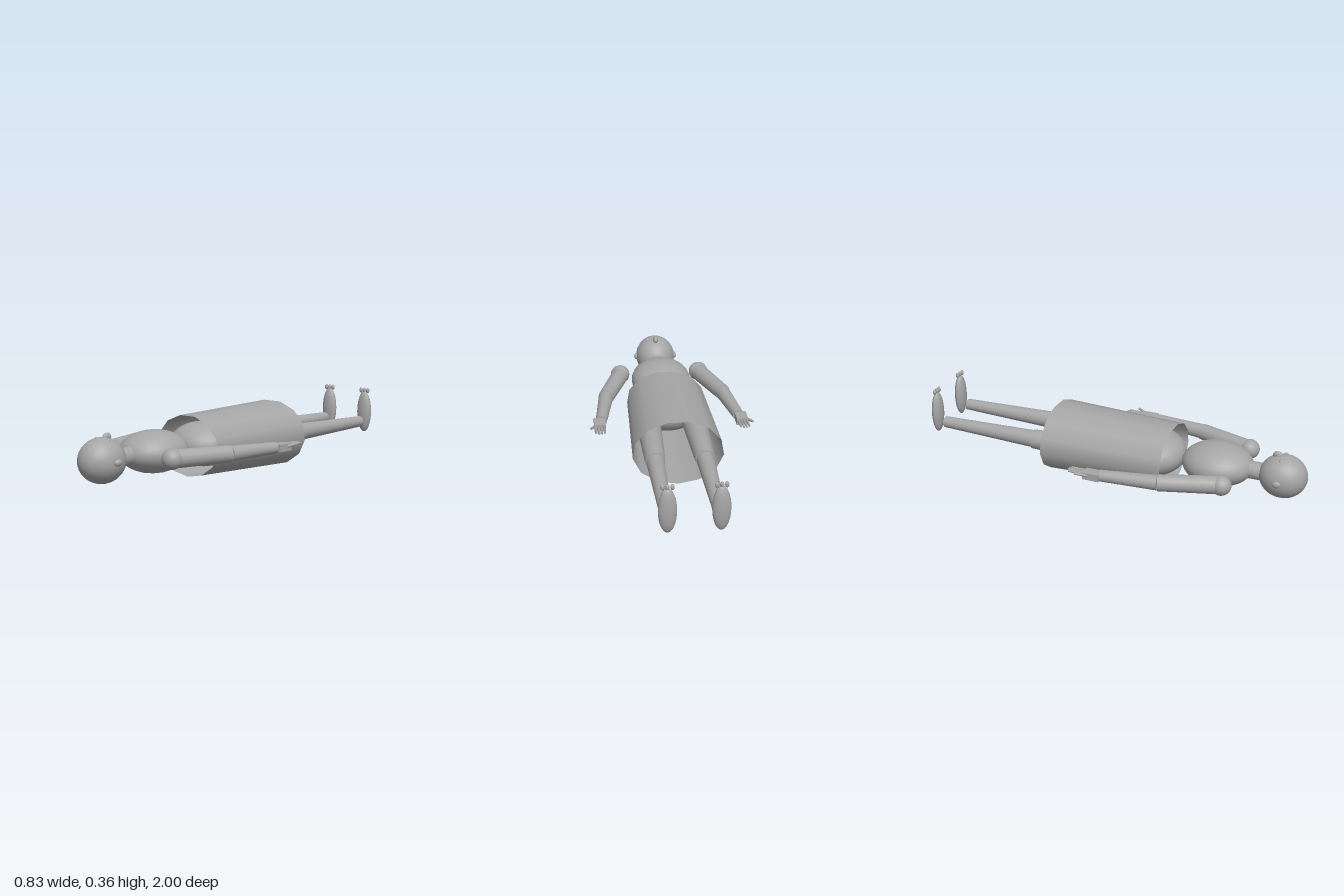
import * as THREE from 'three';

const grey = new THREE.MeshStandardMaterial({ color: 0xa6a6a6 });
grey.name = 'grey';
const greyCloth = new THREE.MeshStandardMaterial({ color: 0xa6a6a6, side: THREE.DoubleSide });
greyCloth.name = 'grey cloth';

const AXIS_Y = 0.17; // height of the body's long axis

function add(parent, name, geometry, position, material = grey) {
  const mesh = new THREE.Mesh(geometry, material);
  mesh.name = name;
  mesh.position.set(...position);
  parent.add(mesh);
  return mesh;
}

// Ellipsoid with its poles along z
function ellipsoid(parent, name, position, radii, segments = 32) {
  const geometry = new THREE.SphereGeometry(1, segments, segments / 2);
  geometry.rotateX(Math.PI / 2).scale(...radii);
  return add(parent, name, geometry, position);
}

// Tapered cylinder from point a to point b
function limb(parent, name, a, b, ra, rb, sides = 24) {
  const start = new THREE.Vector3(...a);
  const end = new THREE.Vector3(...b);
  const dir = end.clone().sub(start);
  const middle = start.clone().add(end).multiplyScalar(0.5);
  const mesh = add(parent, name, new THREE.CylinderGeometry(rb, ra, dir.length(), sides), middle.toArray());
  mesh.quaternion.setFromUnitVectors(new THREE.Vector3(0, 1, 0), dir.normalize());
  return mesh;
}

function buildHead() {
  const head = new THREE.Group();
  head.name = 'head';
  ellipsoid(head, 'skull', [0, AXIS_Y, 0.88], [0.106, 0.109, 0.12]);
  ellipsoid(head, 'nose', [0, 0.277, 0.847], [0.014, 0.019, 0.025], 16);
  for (const s of [-1, 1]) {
    ellipsoid(head, 'eye', [s * 0.04, 0.263, 0.877], [0.012, 0.012, 0.012], 16);
    ellipsoid(head, 'ear', [s * 0.106, AXIS_Y, 0.876], [0.012, 0.017, 0.022], 16);
  }
  return head;
}

function buildArm(s) {
  const arm = new THREE.Group();
  arm.name = s > 0 ? 'leftArm' : 'rightArm';
  ellipsoid(arm, 'shoulder', [s * 0.215, AXIS_Y, 0.637], [0.051, 0.05, 0.05], 24);
  limb(arm, 'upperArm', [s * 0.218, AXIS_Y, 0.617], [s * 0.311, AXIS_Y, 0.347], 0.045, 0.041);
  limb(arm, 'forearm', [s * 0.311, AXIS_Y, 0.347], [s * 0.353, AXIS_Y, 0.063], 0.038, 0.029);

  // Hand: palm, four fingers, and a thumb pointing outwards
  add(arm, 'palm', new THREE.BoxGeometry(0.058, 0.036, 0.085), [s * 0.362, 0.17, 0.027]);
  for (let i = 0; i < 4; i++) {
    const x = s * (0.341 + i * 0.0145);
    const tip = i === 0 || i === 3 ? -0.09 : -0.099;
    limb(arm, 'finger', [x, 0.177, 0], [x + s * 0.002, 0.18, tip], 0.007, 0.005, 8);
  }
  limb(arm, 'thumb', [s * 0.386, 0.174, 0.01], [s * 0.411, 0.186, -0.05], 0.008, 0.006, 8);
  return arm;
}

function buildLeg(s) {
  const leg = new THREE.Group();
  leg.name = s > 0 ? 'leftLeg' : 'rightLeg';
  const x = s * 0.121;
  limb(leg, 'thigh', [s * 0.115, 0.173, 0.12], [x, 0.173, -0.41], 0.066, 0.049);
  limb(leg, 'shin', [x, 0.173, -0.41], [x, 0.173, -0.927], 0.044, 0.029);
  ellipsoid(leg, 'foot', [x, 0.225, -0.97], [0.043, 0.112, 0.027]);
  for (const i of [-1, 0, 1]) {
    ellipsoid(leg, 'toe', [x + i * 0.0225, 0.342, -0.97], [0.0095, 0.015, 0.0095], 16);
  }
  return leg;
}

export function createModel() {
  const model = new THREE.Group();
  model.name = 'lyingFigure';
  model.add(buildHead());

  // Trunk
  limb(model, 'neck', [0, AXIS_Y, 0.79], [0, AXIS_Y, 0.68], 0.044, 0.044);
  ellipsoid(model, 'chest', [0, 0.173, 0.544], [0.158, 0.104, 0.18]);
  ellipsoid(model, 'hips', [0, AXIS_Y, 0.2], [0.172, 0.112, 0.168]);

  // Open, slightly flared skirt with an oval section
  const skirt = new THREE.CylinderGeometry(0.203, 0.225, 0.637, 13, 1, true);
  skirt.rotateX(Math.PI / 2).scale(1, 0.755, 1);
  add(model, 'skirt', skirt, [0, AXIS_Y, -0.007], greyCloth);

  for (const s of [-1, 1]) model.add(buildArm(s), buildLeg(s));
  return model;
}
